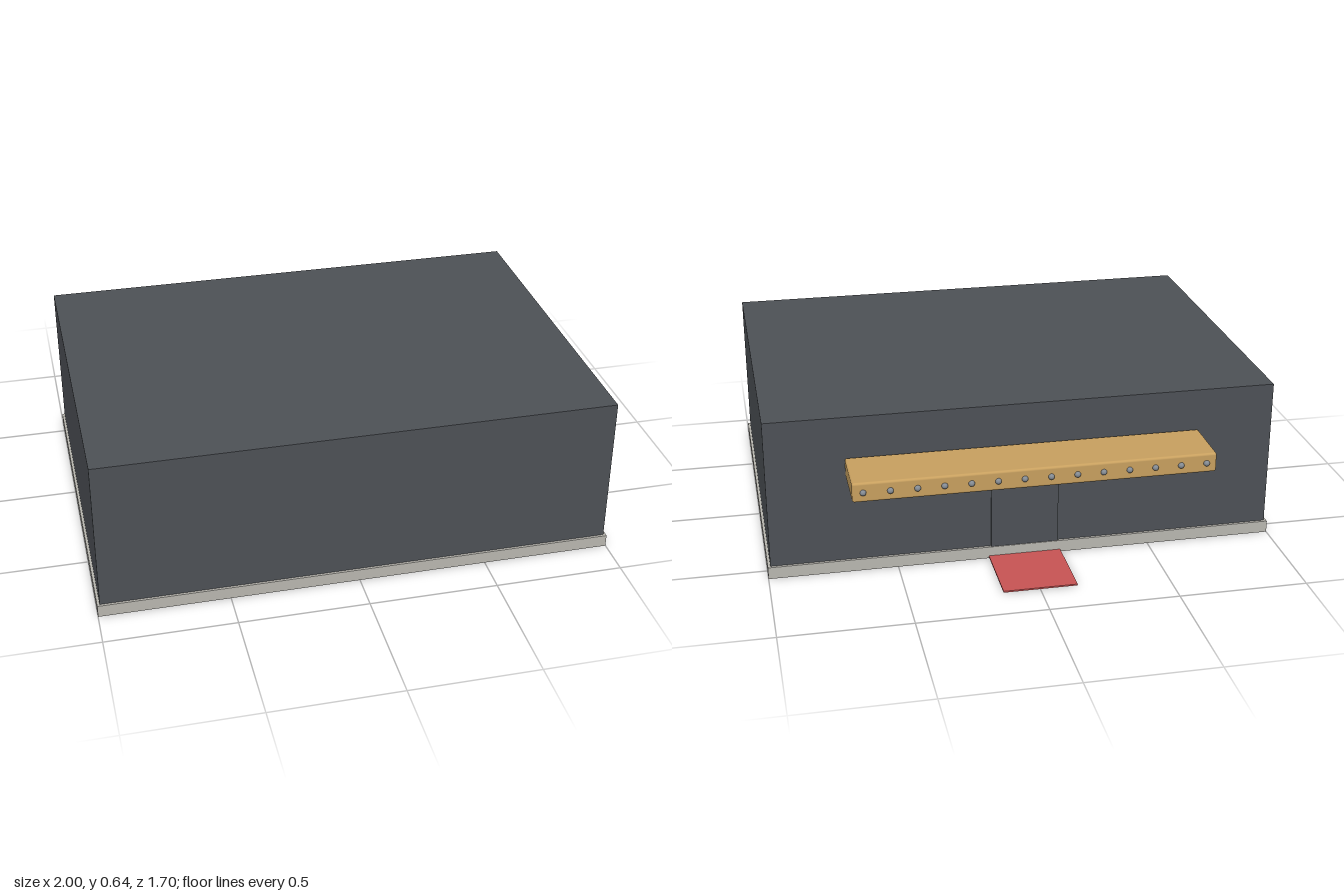
import * as THREE from 'three';
import { RoundedBoxGeometry } from 'three/addons/geometries/RoundedBoxGeometry.js';

function material(name, color) {
  const m = new THREE.MeshStandardMaterial({ color });
  m.name = name;
  return m;
}

export function createModel() {
  const group = new THREE.Group();
  const charcoal = material('charcoal wall', 0x4d5156);
  const stone = material('pale stone', 0xb9b7b0);
  const gold = material('gold canopy', 0xc8a05f);
  const red = material('red carpet', 0xc85454);
  const steel = material('bulb grey', 0x858c94);

  const add = (name, geometry, mat, x, y, z) => {
    const mesh = new THREE.Mesh(geometry, mat);
    mesh.name = name;
    mesh.position.set(x, y, z);
    group.add(mesh);
    return mesh;
  };
  // Box given by its lower and upper corners
  const box = (name, mat, [x0, y0, z0], [x1, y1, z1]) =>
    add(name, new THREE.BoxGeometry(x1 - x0, y1 - y0, z1 - z0), mat,
      (x0 + x1) / 2, (y0 + y1) / 2, (z0 + z1) / 2);

  // Building block on its plinth
  box('plinth', stone, [-1, 0, -0.566], [1, 0.048, 0.85]);
  box('building', charcoal, [-0.99, 0.04, -0.555], [0.99, 0.64, 0.84]);

  // Entrance at the back, with a carpet leading out
  box('door', charcoal, [-0.133, 0.04, -0.563], [0.133, 0.3, -0.55]);
  box('carpet', red, [-0.143, 0.004, -0.852], [0.143, 0.01, -0.56]);

  // Canopy over the entrance, with a row of bulbs along its edge
  add('canopy', new RoundedBoxGeometry(1.38, 0.077, 0.232, 3, 0.009), gold, 0, 0.438, -0.672);
  const bulb = new THREE.SphereGeometry(0.012, 16, 12);
  for (let i = 0; i < 14; i++) {
    add('bulb', bulb, steel, -0.65 + i * 0.1, 0.438, -0.788);
  }
  return group;
}
